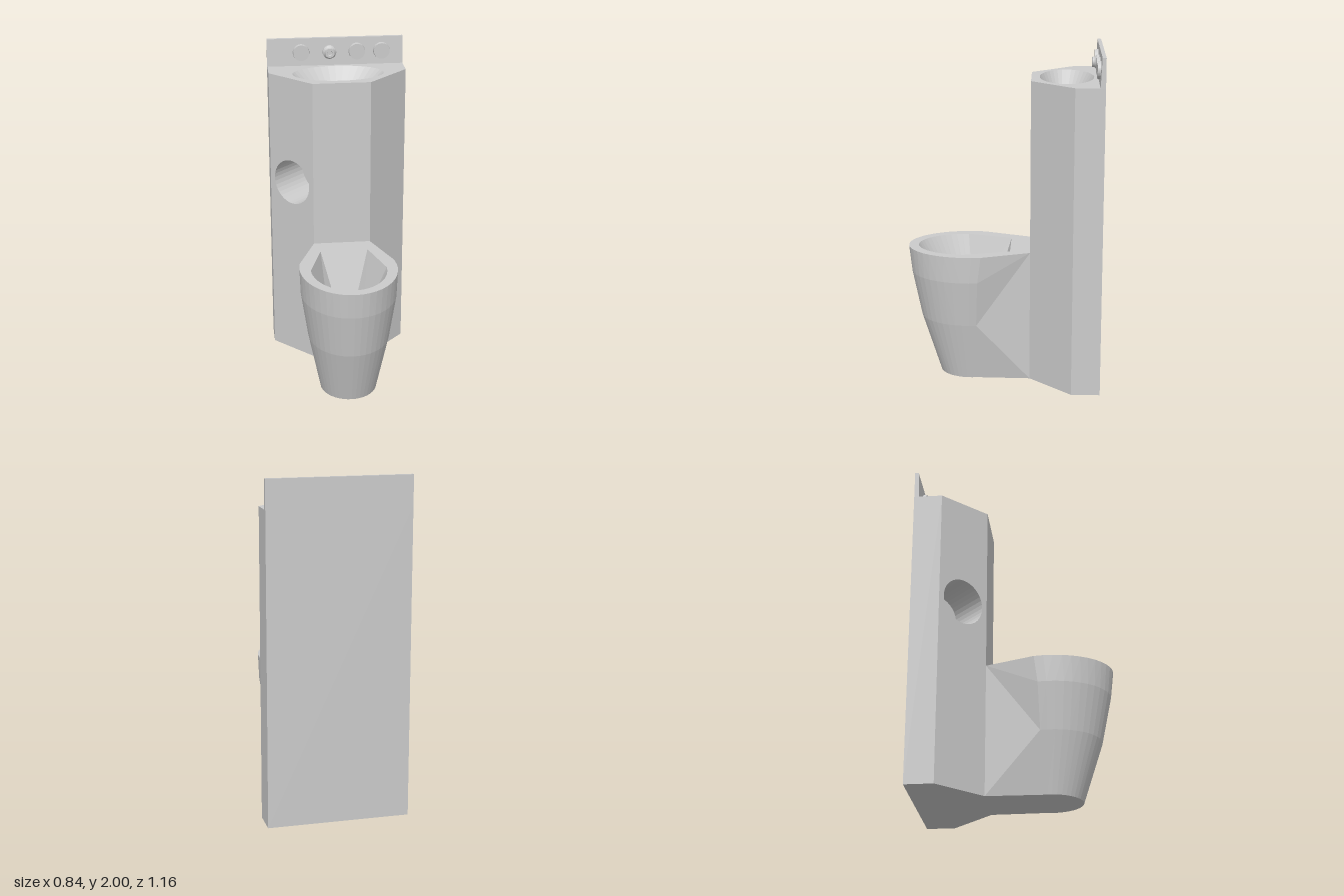
import * as THREE from 'three';

const grey = new THREE.MeshStandardMaterial({ color: 0xcccccc, flatShading: true });
const v3 = (x, y, z) => new THREE.Vector3(x, y, z);

function named(name, geometry) {
  const mesh = new THREE.Mesh(geometry, grey);
  mesh.name = name;
  return mesh;
}

// Points along an elliptical arc, as [across, along] pairs
function arc(cx, cy, rx, ry, from, to, n) {
  return Array.from({ length: n + 1 }, (_, i) => {
    const t = from + ((to - from) * i) / n;
    return [cx + rx * Math.cos(t), cy + ry * Math.sin(t)];
  });
}
const ellipse = (cx, cy, rx, ry, n = 36) => arc(cx, cy, rx, ry, 0, Math.PI * 2, n).slice(0, n);

const level = (pts, y) => pts.map(([x, z]) => v3(x, y, z));

// Skin between matching rings of points
function loft(rings, closed = true) {
  const pos = [];
  for (let r = 0; r + 1 < rings.length; r++) {
    const lo = rings[r], up = rings[r + 1], n = lo.length;
    for (let i = 0; i < (closed ? n : n - 1); i++) {
      const j = (i + 1) % n;
      const [a, b, c, d] = [lo[i], lo[j], up[i], up[j]];
      const tris = i < n / 2 ? [a, c, d, a, d, b] : [a, c, b, b, c, d];
      for (const p of tris) pos.push(p.x, p.y, p.z);
    }
  }
  const g = new THREE.BufferGeometry();
  g.setAttribute('position', new THREE.Float32BufferAttribute(pos, 3));
  g.computeVertexNormals();
  return g;
}

// Horizontal sheet from [x, z] points, facing up or down
function sheet(pts, y, up = true, hole = null) {
  const s = up ? -1 : 1;
  const to2 = (list) => list.map(([x, z]) => new THREE.Vector2(x, s * z));
  const shape = new THREE.Shape(to2(pts));
  if (hole) shape.holes.push(new THREE.Path(to2(hole)));
  return new THREE.ShapeGeometry(shape).rotateX((s * Math.PI) / 2).translate(0, y, 0);
}

const H = 1.83, RIM = 0.8;
const FOOT = [[-0.42, -0.58], [-0.42, -0.41], [-0.175, -0.16], [0.175, -0.16], [0.42, -0.41], [0.42, -0.58]];

function cabinet() {
  const g = new THREE.Group();
  g.name = 'cabinet';
  FOOT.forEach(([ax, az], i) => {
    const [bx, bz] = FOOT[(i + 1) % FOOT.length];
    const L = Math.hypot(bx - ax, bz - az);
    const wall = new THREE.Group();
    wall.name = 'wall';
    wall.position.set(ax, 0, az);
    wall.rotation.y = Math.atan2(az - bz, bx - ax);
    const shape = new THREE.Shape([[0, 0], [L, 0], [L, H], [0, H]].map((p) => new THREE.Vector2(...p)));
    if (i === 1) {
      // round paper recess in the slanted wall
      const ring = ellipse(L / 2, 1.165, 0.141, 0.141);
      const depth = 0.26;
      shape.holes.push(new THREE.Path(ring.map((p) => new THREE.Vector2(...p))));
      wall.add(named('recessWall', loft([-depth, 0].map((z) => ring.map(([x, y]) => v3(x, y, z))))));
      wall.add(named('recessEnd', new THREE.CircleGeometry(0.141, 36).translate(L / 2, 1.165, -depth)));
    }
    wall.add(named('wallPanel', new THREE.ShapeGeometry(shape)));
    g.add(wall);
  });

  // counter with an oval wash basin sunk into it
  const rim = ellipse(0, -0.368, 0.278, 0.16);
  const drain = ellipse(-0.005, -0.353, 0.088, 0.05);
  g.add(named('counter', sheet(FOOT, H, true, rim)));
  g.add(named('basin', loft([level(rim, H), level(drain, H - 0.19)])));
  g.add(named('basinFloor', sheet(drain, H - 0.19)));
  g.add(named('cabinetBase', sheet(FOOT, 0, false)));
  return g;
}

function toilet() {
  const g = new THREE.Group();
  g.name = 'toilet';
  const N = 24;
  // rounded front outline joined to two back corners
  const outline = (cz, rx, rz, over) => arc(0, cz, rx, rz, -over, Math.PI + over, N);
  const corner = (y, s) => v3(0.175 * s, y, -0.16);
  const sections = [
    { y: 0, back: 0, pts: outline(0.2, 0.172, 0.19, 0.2) },
    { y: 0.36, back: RIM, pts: outline(0.21, 0.245, 0.295, 0.17) },
    { y: 0.64, back: RIM, pts: outline(0.21, 0.287, 0.352, 0.17) },
    { y: RIM, back: RIM, pts: outline(0.21, 0.293, 0.37, 0.22) },
  ];
  const rings = sections.map(({ y, back, pts }) => [corner(back, 1), ...level(pts, y), corner(back, -1)]);
  g.add(named('toiletShell', loft(rings, false)));

  const flat = (ring) => ring.map((p) => [p.x, p.z]);
  const mouth = [[0.145, -0.04], ...arc(0, 0.23, 0.227, 0.29, 0, Math.PI, N), [-0.145, -0.04]];
  const well = [[0.05, 0.067], ...arc(-0.015, 0.2, 0.103, 0.125, 0, Math.PI, N), [-0.05, 0.067]];
  const wellY = RIM - 0.35;
  g.add(named('toiletRim', sheet(flat(rings[3]), RIM, true, mouth)));
  g.add(named('toiletBowl', loft([level(mouth, RIM), level(well, wellY)])));
  g.add(named('bowlFloor', sheet(well, wellY)));
  g.add(named('toiletBase', sheet(flat(rings[0]), 0, false)));
  return g;
}

function backsplash() {
  const g = new THREE.Group();
  g.name = 'backsplash';
  // slightly tapered plate, profile in (z, y) swept across x
  const profile = [[0.58, H], [0.58, 2], [0.558, 2], [0.55, H]].map((p) => new THREE.Vector2(...p));
  const plate = new THREE.ExtrudeGeometry(new THREE.Shape(profile), { depth: 0.84, bevelEnabled: false });
  g.add(named('plate', plate.rotateY(Math.PI / 2).translate(-0.42, 0, 0)));

  for (const x of [-0.21, 0.135, 0.288]) {
    const button = named('button', new THREE.CylinderGeometry(0.049, 0.052, 0.022, 32).rotateX(Math.PI / 2));
    button.position.set(x, 1.913, -0.546);
    g.add(button);
  }

  // stepped spout with a small opening
  const steps = [[0, -0.01], [0.042, -0.01], [0.042, 0.012], [0.031, 0.024], [0.029, 0.038], [0.016, 0.038], [0.013, 0.028], [0, 0.028]];
  const spout = named('spout', new THREE.LatheGeometry(steps.map((p) => new THREE.Vector2(...p)), 28).rotateX(Math.PI / 2));
  spout.position.set(-0.035, 1.913, -0.553);
  g.add(spout);
  return g;
}

export function createModel() {
  const model = new THREE.Group();
  model.name = 'toiletBasinUnit';
  model.add(cabinet(), toilet(), backsplash());
  return model;
}
